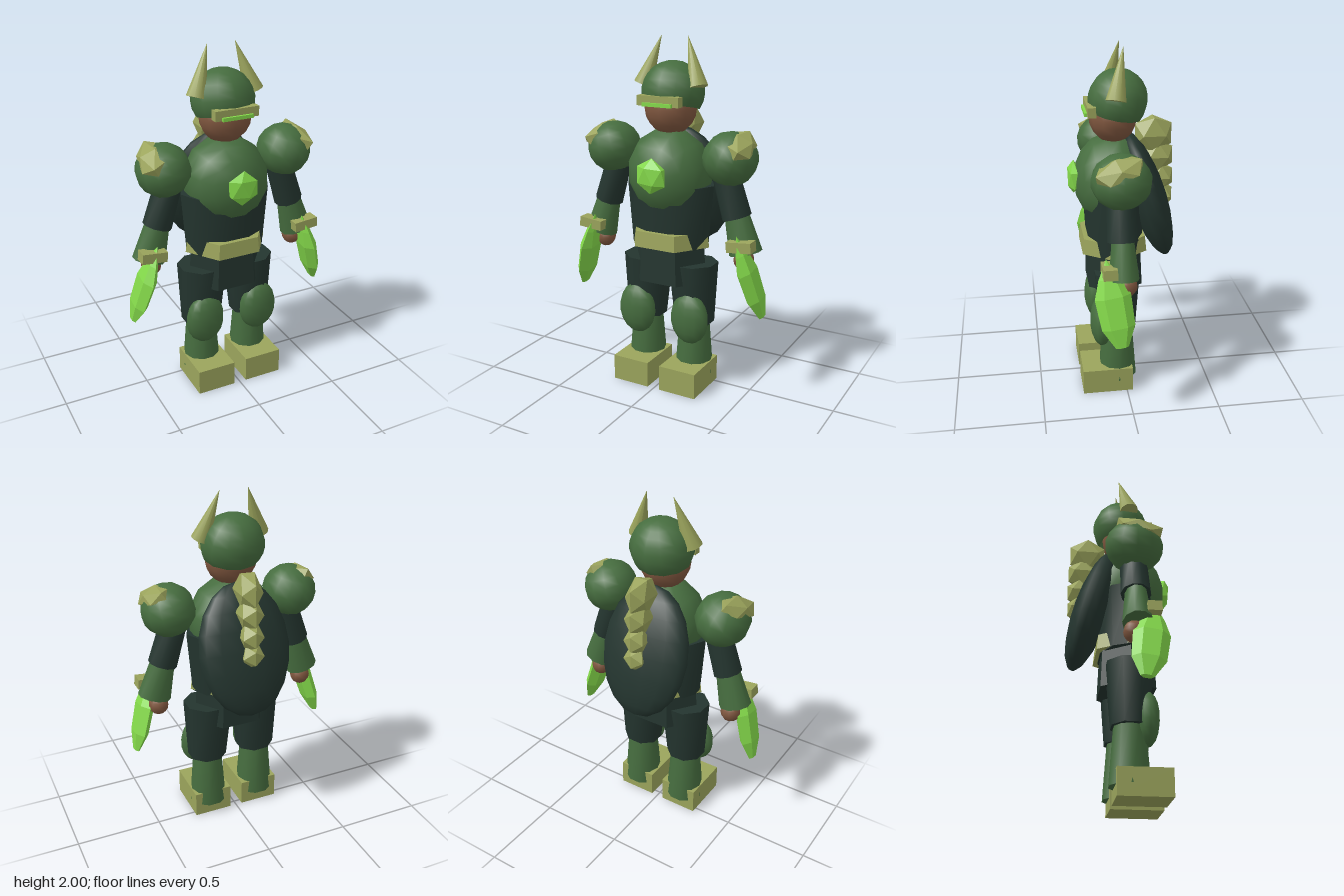
import * as THREE from 'three';
import { toCreasedNormals } from 'three/addons/utils/BufferGeometryUtils.js';

const paint = (name, color) => {
  const m = new THREE.MeshStandardMaterial({ color });
  m.name = name;
  return m;
};

export function createModel() {
  const green = paint('armourGreen', 0x466d3f);
  const dark = paint('darkCloth', 0x24352f);
  const gold = paint('paleHorn', 0x9ba45c);
  const skin = paint('skin', 0x80573f);
  const glow = paint('glowGreen', 0x84d94a);
  const root = new THREE.Group();
  root.name = 'armouredWarrior';
  const UP = new THREE.Vector3(0, 1, 0);

  const add = (name, geo, mat, pos = [0, 0, 0], rot = [0, 0, 0], parent = root) => {
    const mesh = new THREE.Mesh(geo, mat);
    mesh.name = name;
    mesh.position.set(...pos);
    mesh.rotation.set(...rot);
    parent.add(mesh);
    return mesh;
  };
  const ball = (rx, ry, rz, w = 12, h = 9) => new THREE.SphereGeometry(1, w, h).scale(rx, ry, rz);
  const box = (x, y, z) => new THREE.BoxGeometry(x, y, z);
  // Tapered prism with elliptical section; a face points forward
  const prism = (top, bottom, height, sides, depth = 1) =>
    toCreasedNormals(new THREE.CylinderGeometry(top, bottom, height, sides)
      .rotateY(Math.PI / sides).scale(1, 1, depth), 0.85);
  const facets = (geo) => toCreasedNormals(geo, 0.01);
  // Tapered limb running from point a to point b
  const limb = (name, a, b, ra, rb, mat, sides, parent) => {
    const from = new THREE.Vector3(...a), to = new THREE.Vector3(...b);
    const dir = from.clone().sub(to);
    const geo = toCreasedNormals(new THREE.CylinderGeometry(ra, rb, dir.length(), sides), 0.85);
    const mesh = add(name, geo, mat, from.add(to).multiplyScalar(0.5).toArray(), [0, 0, 0], parent);
    mesh.quaternion.setFromUnitVectors(UP, dir.normalize());
    return mesh;
  };

  // Torso, chest plate and hips
  add('torso', prism(0.27, 0.24, 0.36, 10, 0.66), dark, [0, 1.02, 0.045]);
  add('chestPlate', ball(0.245, 0.22, 0.26, 12, 9).rotateX(Math.PI / 2), green, [0, 1.25, 0.05])
    .rotation.z = Math.PI / 12;
  add('chestGem', facets(new THREE.IcosahedronGeometry(1, 0).rotateZ(0.5).scale(0.1, 0.1, 0.038)),
    glow, [0, 1.27, 0.268]);
  add('belt', prism(0.238, 0.25, 0.09, 6, 0.84), gold, [0, 0.89, 0.053]);
  add('hips', prism(0.215, 0.23, 0.23, 6, 0.77), dark, [0, 0.745, 0.048]);

  // Head with helmet and visor
  add('head', ball(0.148, 0.15, 0.135, 12, 10), skin, [0, 1.615, 0.045]);
  const helmetGeo = new THREE.SphereGeometry(1, 12, 8, 0, Math.PI * 2, 0, Math.PI * 0.66);
  const helmet = add('helmet', helmetGeo.scale(0.18, 0.17, 0.165), green, [0, 1.7, 0.018], [-0.2, 0, 0]);
  helmet.material = green.clone();
  helmet.material.side = THREE.DoubleSide;
  add('visor', box(0.256, 0.055, 0.045), gold, [0, 1.664, 0.172]);
  add('visorSlit', box(0.18, 0.02, 0.018), glow, [0, 1.645, 0.2]);

  // Shell and row of spines on the back
  add('backShell', ball(0.273, 0.38, 0.105, 14, 10), dark, [0, 1.14, -0.15], [0.295, 0, 0]);
  const spines = [
    [1.5, -0.18, 0.115, 0.12], [1.375, -0.205, 0.095, 0.1],
    [1.25, -0.225, 0.085, 0.08], [1.14, -0.24, 0.075, 0.06],
  ];
  for (const [y, z, ry, rz] of spines) {
    add('backSpine', facets(new THREE.IcosahedronGeometry(1, 0).scale(0.073, ry, rz)), gold, [0, y, z]);
  }

  // Faceted blade, wide from front to back
  const bladeGeo = facets(new THREE.LatheGeometry([
    [0, -0.245], [0.035, -0.24], [0.09, -0.13], [0.098, 0.04], [0.06, 0.14], [0, 0.245],
  ].map(([r, y]) => new THREE.Vector2(r, y)), 6).scale(0.48, 1, 1));
  const padSpike = facets(new THREE.IcosahedronGeometry(1, 0).scale(0.085, 0.05, 0.15));

  for (const s of [1, -1]) {
    const side = s > 0 ? 'left' : 'right';
    const part = (n) => side + n;

    // Horn
    limb(part('Horn'), [s * 0.082, 2, 0], [s * 0.17, 1.735, 0.05], 0.001, 0.056, gold, 10);

    // Arm
    const arm = new THREE.Group();
    arm.name = part('Arm');
    root.add(arm);
    add(part('ShoulderPad'), ball(0.152, 0.148, 0.163, 12, 9), green, [s * 0.37, 1.365, 0.05], [0, 0, s * -0.3], arm);
    add(part('ShoulderSpike'), padSpike, gold, [s * 0.442, 1.448, 0.07], [0.3, s * 0.15, s * -0.55], arm);
    limb(part('UpperArm'), [s * 0.335, 1.3, 0.05], [s * 0.415, 1.045, 0.05], 0.075, 0.083, dark, 10, arm);
    limb(part('Forearm'), [s * 0.405, 1.09, 0.05], [s * 0.472, 0.85, 0.05], 0.066, 0.096, green, 10, arm)
      .scale.z = 0.85;
    add(part('Hand'), ball(0.058, 0.062, 0.06, 10, 8), skin, [s * 0.455, 0.805, 0.035], [0, 0, 0], arm);
    add(part('BladeMount'), box(0.145, 0.058, 0.075), gold, [s * 0.477, 0.91, 0.13], [0, 0, s * 0.1], arm);
    const blade = add(part('Blade'), bladeGeo, glow, [s * 0.523, 0.735, 0.11], [0, 0, 0], arm);
    blade.quaternion.setFromUnitVectors(UP, new THREE.Vector3(s * -0.135, 0.46, 0.07).normalize());

    // Leg
    const leg = new THREE.Group();
    leg.name = part('Leg');
    root.add(leg);
    add(part('Thigh'), prism(0.146, 0.116, 0.36, 8, 0.93), dark, [s * 0.152, 0.565, 0.047], [0, 0, s * 0.03], leg);
    add(part('KneePad'), ball(0.118, 0.152, 0.065, 12, 9), green, [s * 0.172, 0.432, 0.14], [0, 0, 0], leg);
    add(part('Shin'), prism(0.085, 0.113, 0.36, 10), green, [s * 0.156, 0.25, 0.045], [0, 0, 0], leg);
    add(part('Boot'), box(0.228, 0.15, 0.292), gold, [s * 0.153, 0.075, 0.112], [0, 0, 0], leg);
  }
  return root;
}
